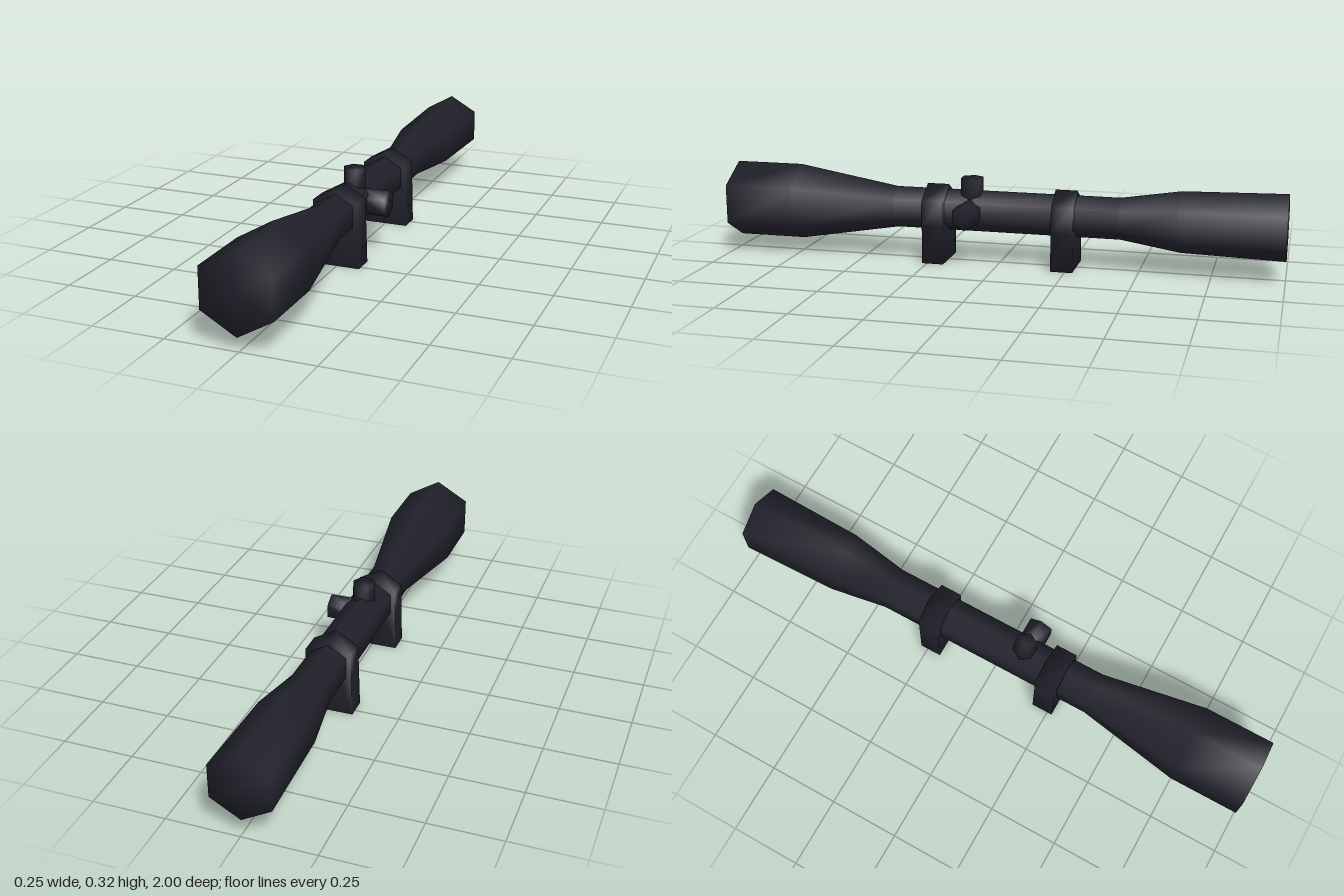
import * as THREE from 'three';
import { mergeVertices } from 'three/addons/utils/BufferGeometryUtils.js';

const AXIS_X = -0.005;
const AXIS_Y = 0.183;

// Weld all corners so shading runs smoothly over the low-poly edges
function soften(geometry) {
  geometry.deleteAttribute('uv');
  geometry.deleteAttribute('normal');
  const welded = mergeVertices(geometry, 1e-4);
  welded.computeVertexNormals();
  return welded;
}

export function createModel() {
  const group = new THREE.Group();
  const darkMetal = new THREE.MeshStandardMaterial({ color: 0x20202a });
  darkMetal.name = 'darkMetal';

  const add = (name, geometry, x, y, z) => {
    const mesh = new THREE.Mesh(soften(geometry), darkMetal);
    mesh.name = name;
    mesh.position.set(x, y, z);
    group.add(mesh);
  };

  // Six-sided main tube: eyepiece at the back, objective bell at the front
  const profile = [
    [0, -1], [0.118, -1], [0.109, -0.64], [0.075, -0.43],
    [0.075, 0.38], [0.1385, 0.75], [0.1385, 1], [0, 1],
  ].map(([r, z]) => new THREE.Vector2(r, z));
  add('mainTube', new THREE.LatheGeometry(profile, 6).rotateX(Math.PI / 2), AXIS_X, AXIS_Y, 0);

  // Two mounts: peaked ring top running down into a slightly flared foot
  const mountShape = new THREE.Shape([
    [-0.087, 0], [0.087, 0], [0.083, 0.136], [0.08, 0.229],
    [0, 0.275], [-0.08, 0.229], [-0.083, 0.136],
  ].map(([x, y]) => new THREE.Vector2(x, y)));
  for (const [name, z] of [['frontMount', 0.19], ['rearMount', -0.277]]) {
    add(name, new THREE.ExtrudeGeometry(mountShape, { depth: 0.078, bevelEnabled: false }), AXIS_X, 0, z);
  }

  // Adjustment knobs on the top and on the left side
  const topKnob = new THREE.CylinderGeometry(0.041, 0.041, 0.085, 6).rotateY(Math.PI / 2);
  add('topKnob', topKnob, 0.001, 0.2625, 0.102);
  const sideKnob = new THREE.CylinderGeometry(0.048, 0.048, 0.09, 6)
    .rotateY(Math.PI / 2).rotateZ(Math.PI / 2);
  add('sideKnob', sideKnob, 0.08, 0.186, 0.1);

  return group;
}
